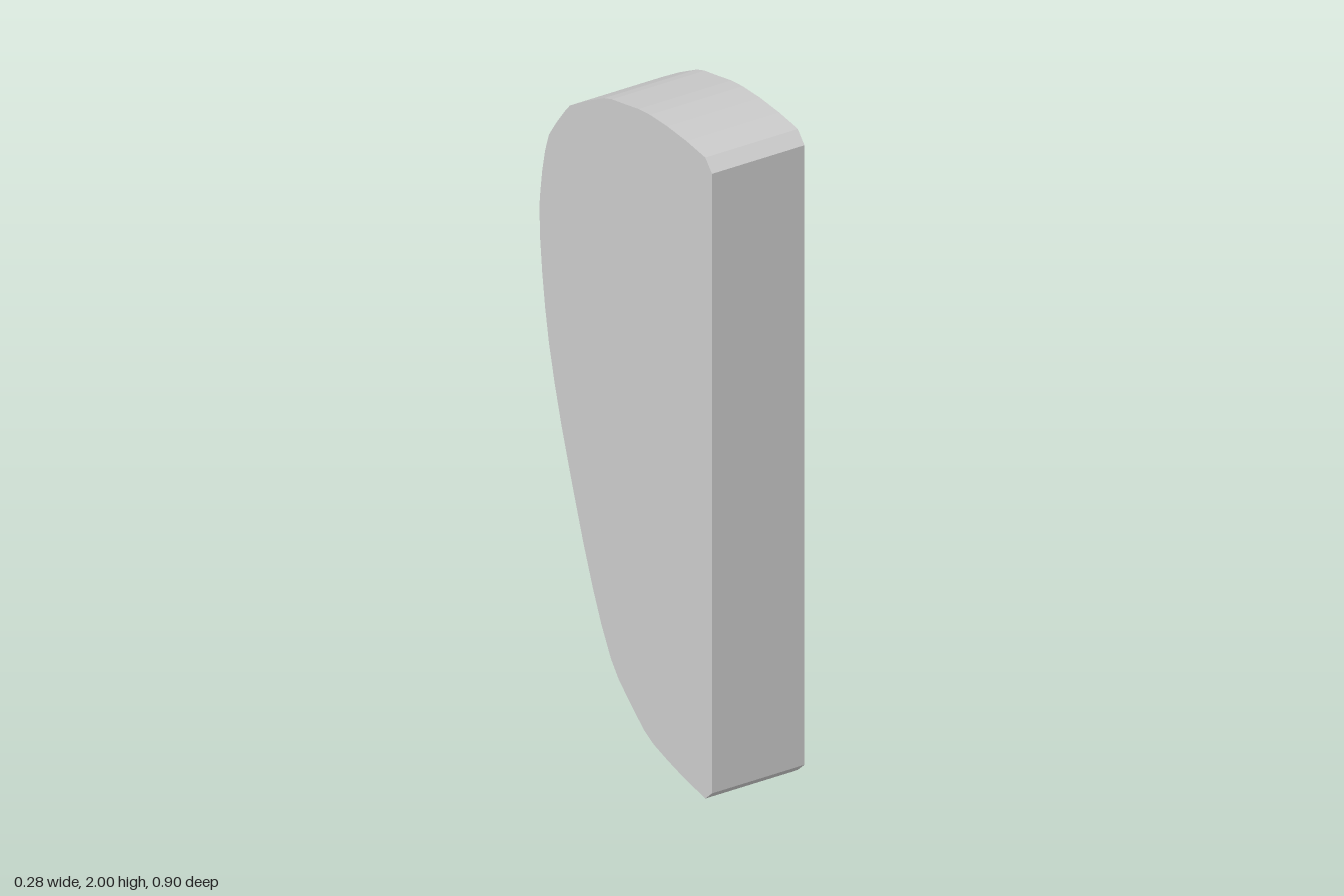
import * as THREE from 'three';

export function createModel() {
  const group = new THREE.Group();
  group.name = 'curvedPlate';

  // Side profile as [z, y]: flat front with chamfered corners, bulging back
  const profile = [
    [0.455, 0.035], [0.455, 1.968], [0.42, 2], [0.32, 1.998], [0.22, 1.99],
    [0.13, 1.977], [0.07, 1.963], [0, 1.94], [-0.07, 1.918], [-0.11, 1.9],
    [-0.2, 1.843], [-0.29, 1.78], [-0.315, 1.75], [-0.36, 1.69], [-0.4, 1.63],
    [-0.42, 1.57], [-0.435, 1.5], [-0.445, 1.43], [-0.45, 1.38], [-0.446, 1.28],
    [-0.435, 1.18], [-0.42, 1.08], [-0.4, 0.98], [-0.37, 0.87], [-0.335, 0.76],
    [-0.28, 0.61], [-0.22, 0.455], [-0.17, 0.34], [-0.125, 0.25], [-0.075, 0.17],
    [-0.035, 0.128], [0.03, 0.083], [0.1, 0.04], [0.15, 0.023], [0.22, 0.013],
    [0.3, 0.005], [0.42, 0],
  ];
  const shape = new THREE.Shape(profile.map(([z, y]) => new THREE.Vector2(-z, y)));

  // Extrude across the width, then turn the profile into the z-y plane
  const width = 0.284;
  const geometry = new THREE.ExtrudeGeometry(shape, { depth: width, bevelEnabled: false });
  geometry.translate(0, 0, -width / 2);
  geometry.rotateY(Math.PI / 2);

  const plate = new THREE.Mesh(
    geometry,
    new THREE.MeshStandardMaterial({ color: 0xcccccc, flatShading: true })
  );
  plate.name = 'plate';
  group.add(plate);
  return group;
}
